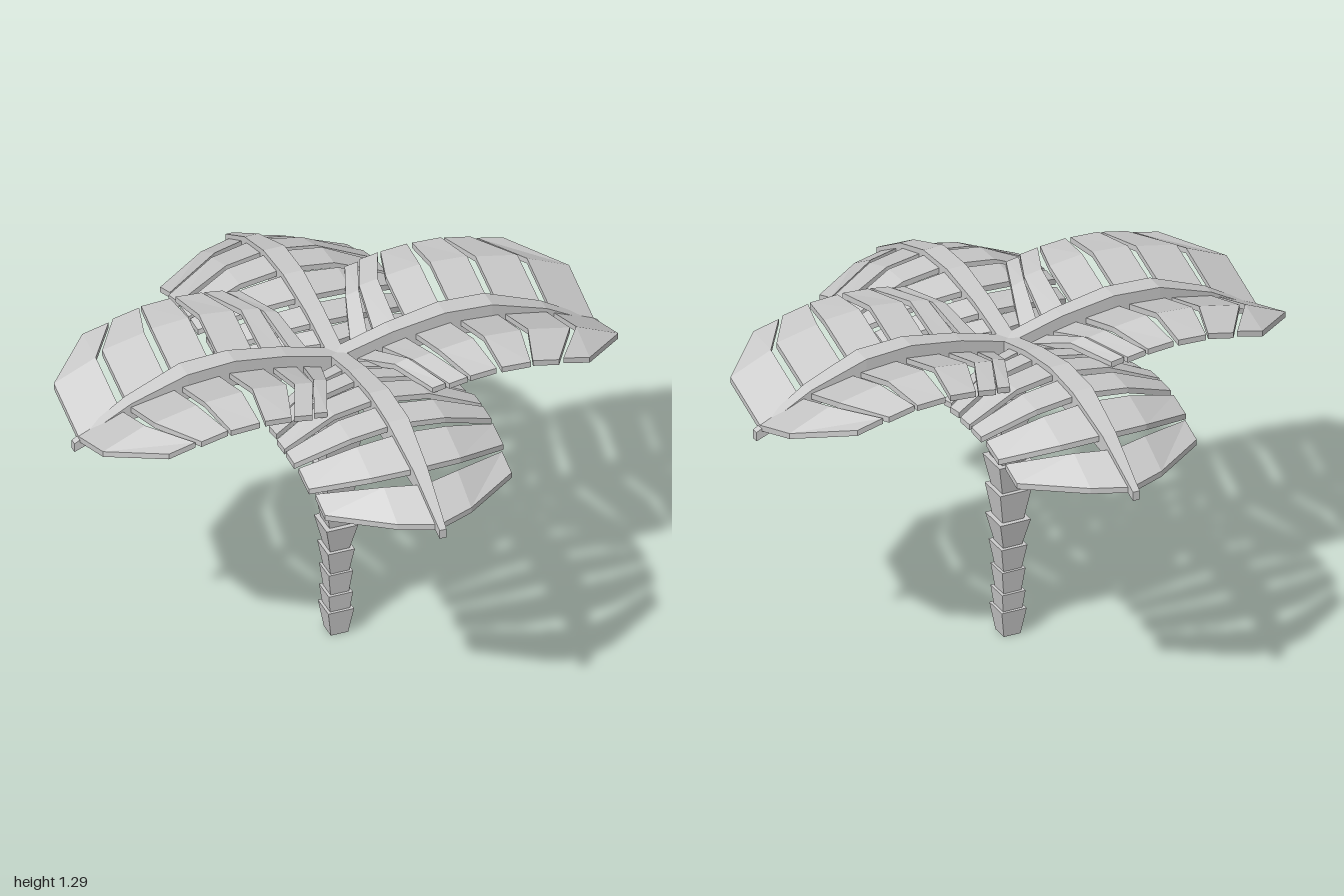
import * as THREE from 'three';

const material = new THREE.MeshStandardMaterial({ color: 0xcccccc, flatShading: true });

// Closed solid through four-cornered rings; corners run clockwise seen from the far end
function loft(rings) {
  const pos = [];
  const quad = (a, b, c, d) => pos.push(...a, ...b, ...c, ...a, ...c, ...d);
  for (let s = 0; s < rings.length - 1; s++) {
    for (let i = 0; i < 4; i++) {
      const j = (i + 1) % 4;
      quad(rings[s][i], rings[s + 1][i], rings[s + 1][j], rings[s][j]);
    }
  }
  quad(...rings[0]);
  quad(...[...rings[rings.length - 1]].reverse());
  const geometry = new THREE.BufferGeometry();
  geometry.setAttribute('position', new THREE.Float32BufferAttribute(pos, 3));
  geometry.computeVertexNormals();
  return geometry;
}

function addMesh(parent, name, geometry) {
  const mesh = new THREE.Mesh(geometry, material);
  mesh.name = name;
  parent.add(mesh);
  return mesh;
}

// Rib stations: distance from trunk, bottom, top, half width
const RIB = [
  [0, 1.08, 1.18, 0.03],
  [0.2, 1.135, 1.235, 0.033],
  [0.4, 1.166, 1.268, 0.038],
  [0.58, 1.157, 1.258, 0.04],
  [0.79, 1.112, 1.18, 0.027],
  [1, 1.02, 1.055, 0.013],
];

// Bottom (column 1) or top (column 2) height of the rib at distance a
function ribHeight(a, column) {
  let i = 0;
  while (i < RIB.length - 2 && a > RIB[i + 1][0]) i++;
  const t = (a - RIB[i][0]) / (RIB[i + 1][0] - RIB[i][0]);
  return THREE.MathUtils.lerp(RIB[i][column], RIB[i + 1][column], t);
}

// Leaflets: [start, end] along the rib at the root, the fold and the outer edge
const RAISED = {
  column: 1,
  lift: [0.045, 0.125, 0.1],
  leaflets: [
    { along: [[0.06, 0.13], [0.13, 0.18], [0.2, 0.25]], out: [0, 0.23, 0.41] },
    { along: [[0.16, 0.25], [0.19, 0.26], [0.26, 0.33]], out: [0, 0.25, 0.42] },
    { along: [[0.29, 0.42], [0.29, 0.42], [0.34, 0.44]], out: [0, 0.25, 0.42] },
    { along: [[0.46, 0.6], [0.46, 0.6], [0.46, 0.57]], out: [0, 0.25, 0.42] },
    { along: [[0.63, 0.79], [0.63, 0.79], [0.58, 0.68]], out: [0, 0.245, 0.415] },
    { along: [[0.82, 0.98], [0.82, 0.98], [0.7, 0.8]], out: [0, 0.23, 0.405] },
  ],
};
const DROOPING = {
  column: 2,
  lift: [-0.015, -0.04, -0.125],
  leaflets: [
    { along: [[0.06, 0.13], [0.1, 0.16], [0.17, 0.23]], out: [0, 0.14, 0.34] },
    { along: [[0.16, 0.25], [0.18, 0.27], [0.26, 0.33]], out: [0, 0.16, 0.36] },
    { along: [[0.29, 0.42], [0.31, 0.425], [0.37, 0.44]], out: [0, 0.18, 0.375] },
    { along: [[0.46, 0.58], [0.46, 0.575], [0.455, 0.53]], out: [0, 0.18, 0.375] },
    { along: [[0.62, 0.77], [0.61, 0.745], [0.56, 0.655]], out: [0, 0.17, 0.37] },
    { along: [[0.83, 0.97], [0.79, 0.92], [0.68, 0.77]], out: [0, 0.14, 0.355] },
  ],
};
const THICKNESS = 0.022;

// One frond growing along +x
function createFrond(name, { column, lift, leaflets }) {
  const frond = new THREE.Group();
  frond.name = name;
  const rib = RIB.map(([x, low, high, w]) => [[x, high, w], [x, high, -w], [x, low, -w], [x, low, w]]);
  addMesh(frond, 'rib', loft(rib));

  for (const side of [1, -1]) {
    for (const { along, out } of leaflets) {
      const rings = along.map(([a, b], k) => {
        const z = side * out[k];
        const ya = ribHeight(a, column) + lift[k];
        const yb = ribHeight(b, column) + lift[k];
        const ring = [[a, ya, z], [b, yb, z], [b, yb - THICKNESS, z], [a, ya - THICKNESS, z]];
        return side > 0 ? ring : ring.reverse();
      });
      addMesh(frond, 'leaflet', loft(rings));
    }
  }
  return frond;
}

export function createModel() {
  const model = new THREE.Group();
  model.name = 'palmTree';

  // Trunk of stacked square segments that flare upwards
  const trunk = new THREE.Group();
  trunk.name = 'trunk';
  const levels = [0, 0.105, 0.175, 0.265, 0.36, 0.465, 0.585, 0.7, 0.825, 0.955, 1.1];
  const bottoms = [0.033, 0.038, 0.035, 0.036, 0.037, 0.042, 0.045, 0.047, 0.05, 0.045];
  const tops = [0.049, 0.046, 0.046, 0.051, 0.06, 0.061, 0.067, 0.067, 0.062, 0.054];
  bottoms.forEach((bottom, i) => {
    const height = levels[i + 1] - levels[i];
    const geometry = new THREE.CylinderGeometry(tops[i] * Math.SQRT2, bottom * Math.SQRT2, height, 4);
    geometry.rotateY(Math.PI / 4);
    addMesh(trunk, 'trunkSegment', geometry).position.y = levels[i] + height / 2;
  });
  model.add(trunk);

  // Four fronds: raised to the sides, drooping to front and back
  const fronds = [['leftFrond', RAISED], ['backFrond', DROOPING], ['rightFrond', RAISED], ['frontFrond', DROOPING]];
  fronds.forEach(([name, style], i) => {
    const frond = createFrond(name, style);
    frond.rotation.y = (i * Math.PI) / 2;
    model.add(frond);
  });

  return model;
}
